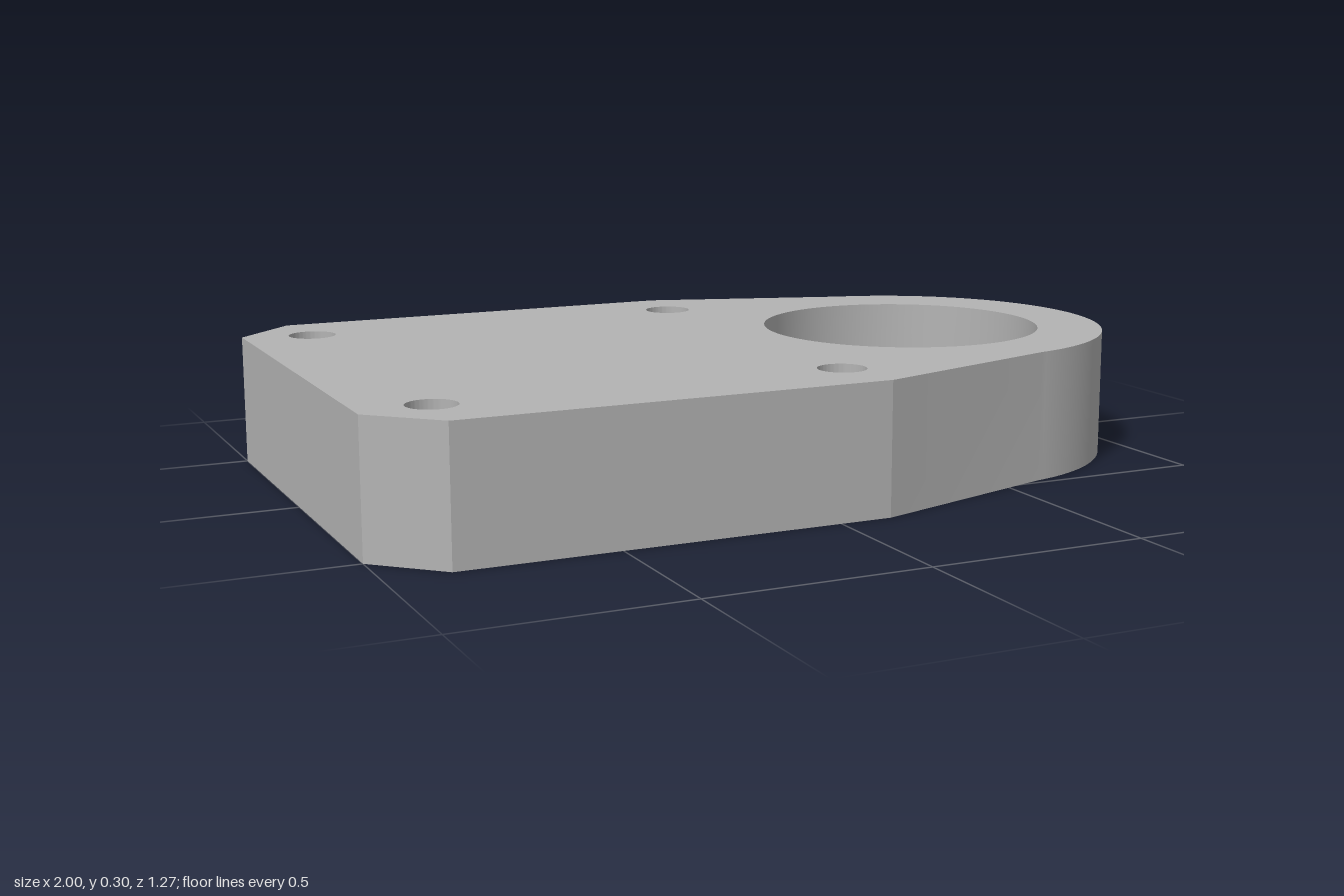
import * as THREE from 'three';
import { toCreasedNormals } from 'three/addons/utils/BufferGeometryUtils.js';

const HEIGHT = 0.3, LEDGE = 0.09;           // plate thickness, counterbore floor
const BOSS_X = 0.51, BOSS_R = 0.49;         // rounded end
const BORE_R = 0.23, COUNTERBORE_R = 0.335, BOLT_R = 0.055;
const BOLTS = [[-0.84, -0.465], [-0.84, 0.465], [0.09, -0.465], [0.09, 0.465]];

// Plan outline, counter-clockwise
function plateOutline() {
  const a = Math.atan2(0.48, 0.09);
  const shape = new THREE.Shape();
  shape.moveTo(-1, 0.5);
  shape.lineTo(-1, -0.5);
  shape.lineTo(-0.86, -0.633);
  shape.lineTo(0.12, -0.633);
  shape.absarc(BOSS_X, 0, BOSS_R, -a, a, false);
  shape.lineTo(0.12, 0.633);
  shape.lineTo(-0.86, 0.633);
  shape.closePath();
  return shape;
}

// Clockwise circle, so its wall faces inwards
const circle = (x, y, r) => new THREE.Path().absarc(x, y, r, 0, Math.PI * 2, true);

// Vertical wall along a closed plan curve
function wall(path, y0, y1, divisions) {
  const pts = path.getPoints(divisions);
  if (pts[0].distanceTo(pts[pts.length - 1]) < 1e-5) pts.pop();
  const pos = [], n = pts.length;
  for (let i = 0; i < n; i++) {
    const p = pts[i], q = pts[(i + 1) % n];
    const a = [p.x, y0, -p.y], b = [q.x, y0, -q.y];
    const c = [q.x, y1, -q.y], d = [p.x, y1, -p.y];
    pos.push(...a, ...b, ...c, ...a, ...c, ...d);
  }
  const geo = new THREE.BufferGeometry();
  geo.setAttribute('position', new THREE.Float32BufferAttribute(pos, 3));
  geo.computeVertexNormals();
  return toCreasedNormals(geo, Math.PI / 20);
}

// Flat face with the bolt holes and one bore cut out
function face(boreRadius) {
  const shape = plateOutline();
  shape.holes = BOLTS.map(([x, y]) => circle(x, y, BOLT_R));
  shape.holes.push(circle(BOSS_X, 0, boreRadius));
  return new THREE.ShapeGeometry(shape, 48);
}

export function createModel() {
  const group = new THREE.Group();
  const grey = new THREE.MeshStandardMaterial({ color: 0xb3b3b3 });
  grey.name = 'machinedGrey';
  const add = (name, geo) => {
    const mesh = new THREE.Mesh(geo, grey);
    mesh.name = name;
    group.add(mesh);
    return mesh;
  };

  // Plate body
  add('plateSides', wall(plateOutline(), 0, HEIGHT, 48));
  add('topFace', face(COUNTERBORE_R).rotateX(-Math.PI / 2).translate(0, HEIGHT, 0));
  add('bottomFace', face(BORE_R).rotateX(Math.PI / 2));

  // Stepped bore
  add('counterboreWall', wall(circle(BOSS_X, 0, COUNTERBORE_R), LEDGE, HEIGHT, 48));
  add('boreWall', wall(circle(BOSS_X, 0, BORE_R), 0, LEDGE, 48));
  add('boreLedge', new THREE.RingGeometry(BORE_R, COUNTERBORE_R, 48)
    .rotateX(-Math.PI / 2).translate(BOSS_X, LEDGE, 0));

  // Bolt holes
  BOLTS.forEach(([x, y], i) => add('boltHole' + (i + 1), wall(circle(x, y, BOLT_R), 0, HEIGHT, 48)));

  return group;
}
